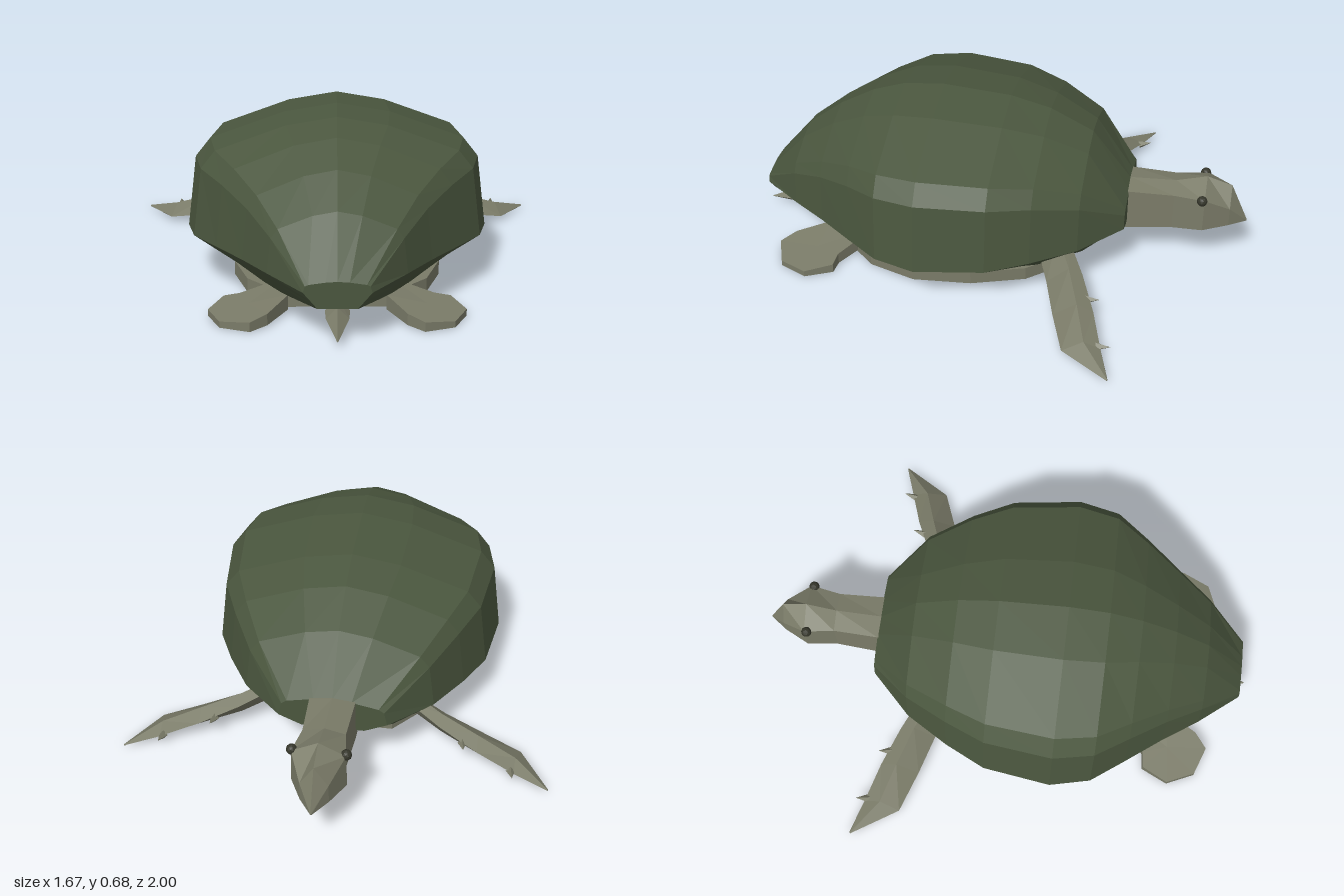
import * as THREE from 'three';

const mat = (name, color) => {
  const m = new THREE.MeshStandardMaterial({ color });
  m.name = name;
  return m;
};

// Faceted solid through closed rings of points, capped at both ends and wound outward
function loft(rings) {
  const pos = [], tris = [];
  const n = rings[0].length;
  const add = (a, b, c) => tris.push([a, b, c]);
  for (let i = 0; i < rings.length - 1; i++) {
    for (let j = 0; j < n; j++) {
      const k = (j + 1) % n, a = rings[i], b = rings[i + 1];
      add(a[j], a[k], b[k]);
      add(a[j], b[k], b[j]);
    }
  }
  const cap = (ring, flip) => {
    const c = [0, 1, 2].map(d => ring.reduce((s, p) => s + p[d], 0) / n);
    ring.forEach((p, j) => {
      const q = ring[(j + 1) % n];
      flip ? add(c, q, p) : add(c, p, q);
    });
  };
  cap(rings[0], true);
  cap(rings[rings.length - 1], false);
  // the signed volume tells whether the faces point outward
  let vol = 0;
  for (const [a, b, c] of tris) {
    vol += a[0] * (b[1] * c[2] - b[2] * c[1]) + a[1] * (b[2] * c[0] - b[0] * c[2]) + a[2] * (b[0] * c[1] - b[1] * c[0]);
  }
  for (const [a, b, c] of tris) pos.push(...a, ...(vol < 0 ? c : b), ...(vol < 0 ? b : c));
  const g = new THREE.BufferGeometry();
  g.setAttribute('position', new THREE.Float32BufferAttribute(pos, 3));
  g.computeVertexNormals();
  return g;
}

// Closed ring at depth z from a right half profile running from top centre to bottom centre
const mirrorRing = (half, z) => [
  ...half.map(([x, y]) => [x, y, z]),
  ...half.slice(1, -1).reverse().map(([x, y]) => [-x, y, z]),
];

const flat = g => {
  const f = g.index ? g.toNonIndexed() : g;
  f.computeVertexNormals();
  return f;
};

export function createModel() {
  const model = new THREE.Group();
  model.name = 'turtle';
  const shellGreen = mat('shellGreen', 0x4a563e);
  const skin = mat('skin', 0x7a7b68);
  const eyeDark = mat('eyeDark', 0x35362b);
  const put = (name, geo, material) => {
    const m = new THREE.Mesh(geo, material);
    m.name = name;
    model.add(m);
    return m;
  };

  // Shell: z, half width, top, rim height, underside height
  const shellRows = [
    [0.96, 0.12, 0.23, 0.19, 0.13],
    [0.80, 0.25, 0.43, 0.2, 0.1],
    [0.66, 0.345, 0.54, 0.2, 0.07],
    [0.52, 0.45, 0.62, 0.2, 0.05],
    [0.39, 0.545, 0.665, 0.2, 0.05],
    [0.23, 0.58, 0.68, 0.19, 0.05],
    [-0.04, 0.545, 0.66, 0.2, 0.05],
    [-0.20, 0.47, 0.62, 0.21, 0.05],
    [-0.37, 0.37, 0.535, 0.22, 0.1],
    [-0.53, 0.21, 0.33, 0.23, 0.19],
  ];
  put('shell', loft(shellRows.map(([z, w, top, rim, bot]) => {
    const at = f => rim + (top - rim) * f;
    return mirrorRing([
      [0, top], [0.35 * w, at(0.93)], [0.84 * w, at(0.72)], [0.94 * w, at(0.57)],
      [w, rim], [0.78 * w, (rim + bot) / 2 - 0.02 * (rim - bot)], [0.58 * w, bot], [0, bot],
    ], z);
  })), shellGreen);

  // Belly plate
  const half = [[0.2, -0.29], [0.31, -0.16], [0.38, 0.05], [0.4, 0.28], [0.34, 0.47], [0.2, 0.62]];
  const outline = [...half, ...half.slice().reverse().map(([x, z]) => [-x, z])];
  put('bellyPlate', loft([0, 0.055].map(y => outline.map(([x, z]) => [x, y, z]))), skin);

  // Neck and head: z, half width, top, brow height, bottom
  put('head', loft([
    [-0.42, 0.1, 0.33, 0.32, 0.12],
    [-0.53, 0.1, 0.335, 0.325, 0.12],
    [-0.71, 0.092, 0.345, 0.325, 0.145],
    [-0.83, 0.115, 0.38, 0.33, 0.165],
    [-0.93, 0.06, 0.35, 0.27, 0.18],
    [-1.0, 0.002, 0.195, 0.19, 0.188],
  ].map(([z, w, top, brow, bot]) => mirrorRing([
    [0, top], [w * 0.88, brow], [w * 0.9, bot + (brow - bot) * 0.15], [0, bot],
  ], z))), skin);

  // Tail
  put('tail', loft([[0.8, 0.045, 0.11, 0.01], [0.86, 0.042, 0.095, 0.01], [1, 0.002, 0.027, 0.023]].map(
    ([z, w, top, bot]) => mirrorRing([[0, top], [w, (top + bot) / 2], [0, bot]], z))), skin);

  for (const s of [1, -1]) {
    const side = s > 0 ? 'left' : 'right';
    const flip = rings => rings.map(r => r.map(([x, y, z]) => [s * x, y, z]));

    const eye = put(side + 'Eye', flat(new THREE.IcosahedronGeometry(0.021, 1)), eyeDark);
    eye.position.set(s * 0.1, 0.328, -0.82);

    // Front flipper: leading edge, ridge, trailing edge, underside
    put(side + 'FrontFlipper', loft(flip([
      [[0.27, 0.18, -0.33], [0.27, 0.2, -0.28], [0.29, 0.12, -0.21], [0.28, 0.1, -0.28]],
      [[0.4, 0.13, -0.4], [0.4, 0.155, -0.345], [0.41, 0.085, -0.26], [0.4, 0.06, -0.34]],
      [[0.55, 0.08, -0.465], [0.55, 0.11, -0.4], [0.56, 0.05, -0.31], [0.56, 0.03, -0.39]],
      [[0.7, 0.035, -0.515], [0.7, 0.06, -0.45], [0.72, 0.02, -0.37], [0.71, 0.006, -0.44]],
      [[0.83, 0.01, -0.56], [0.833, 0.013, -0.559], [0.835, 0.01, -0.555], [0.833, 0.006, -0.559]],
    ])), skin);

    // Claws on the leading edge
    for (const [x, y, z] of [[0.495, 0.095, -0.455], [0.69, 0.04, -0.525]]) {
      const claw = put(side + 'Claw', flat(new THREE.ConeGeometry(0.018, 0.055, 4)), skin);
      claw.position.set(s * x, y, z);
      claw.rotation.set(-1.35, 0, -s * 0.15);
    }

    // Rear flipper: paddle thinning outward
    const paddle = [[0.2, 0.5], [0.36, 0.6], [0.42, 0.605], [0.47, 0.71], [0.42, 0.82], [0.31, 0.86], [0.25, 0.81], [0.18, 0.68]];
    put(side + 'RearFlipper', loft(flip([
      paddle.map(([x, z]) => [x, 0.002 + Math.max(0, 0.3 - x) * 0.1, z]),
      paddle.map(([x, z]) => [x, 0.07 - (x - 0.2) * 0.14 - Math.max(0, z - 0.65) * 0.08, z]),
    ])), skin);
  }
  return model;
}
